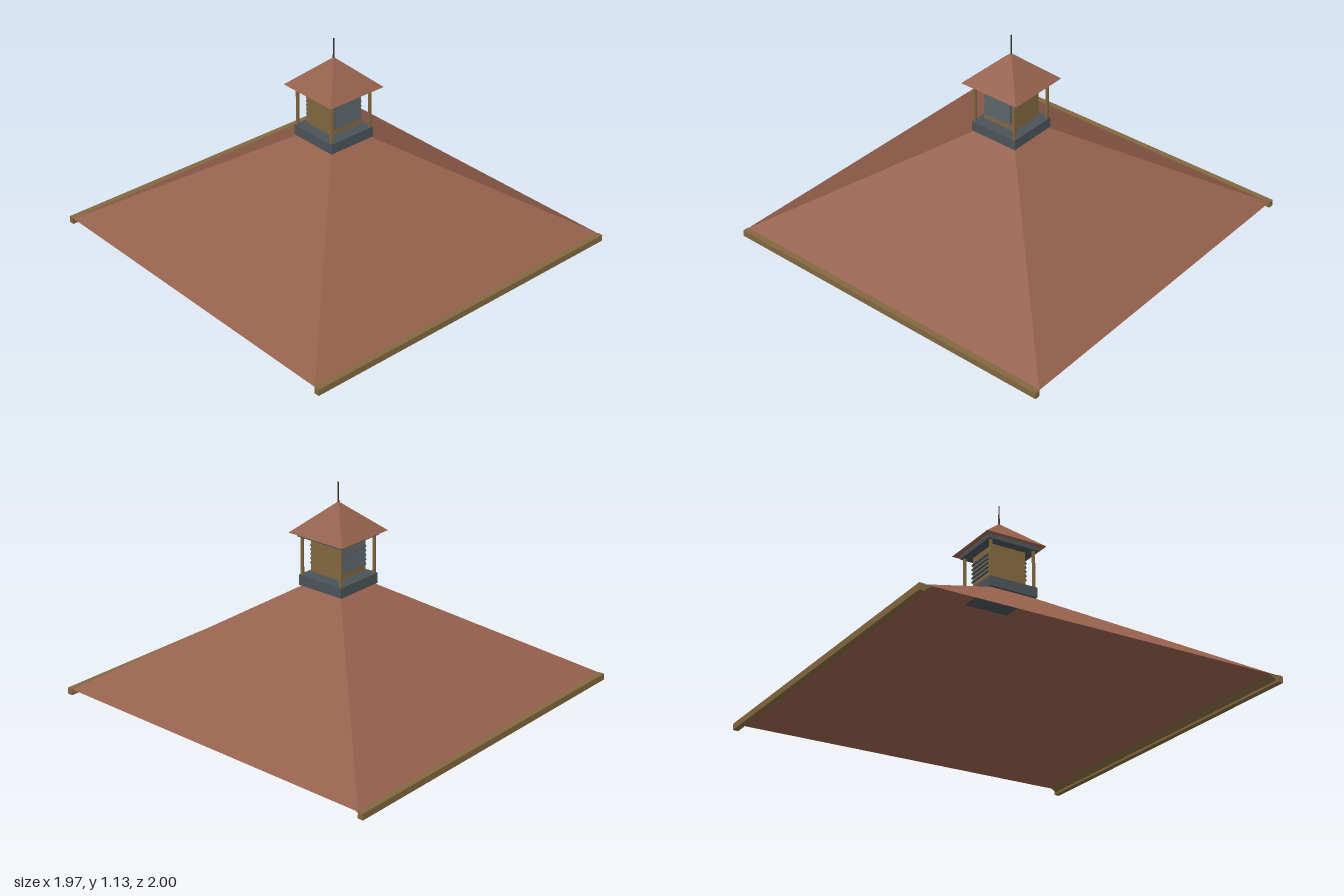
import * as THREE from 'three';

export function createModel() {
  const model = new THREE.Group();
  const mat = (name, color, extra = {}) => Object.assign(new THREE.MeshStandardMaterial({ color, ...extra }), { name });
  const tile = mat('terracotta', 0x935f4b, { flatShading: true, side: THREE.DoubleSide });
  const wood = mat('wood', 0x836840);
  const slate = mat('slate grey', 0x4c5358);
  const iron = mat('dark iron', 0x38342f);

  const add = (name, geometry, material, x = 0, y = 0, z = 0, parent = model) => {
    const mesh = new THREE.Mesh(geometry, material);
    mesh.name = name;
    mesh.position.set(x, y, z);
    parent.add(mesh);
    return mesh;
  };
  // Box given by its size, bottom height and centre
  const box = (name, m, w, h, d, x, y, z, parent) =>
    add(name, new THREE.BoxGeometry(w, h, d), m, x, y + h / 2, z, parent);
  // Four-sided open pyramid
  const pyramid = (name, halfX, halfZ, y0, y1) => {
    const g = new THREE.ConeGeometry(Math.SQRT2, y1 - y0, 4, 1, true).rotateY(Math.PI / 4);
    g.scale(halfX, 1, halfZ);
    return add(name, g, tile, 0, (y0 + y1) / 2, 0);
  };

  // Main hipped roof
  pyramid('mainRoof', 0.98, 0.97, 0.033, 0.662);

  // Eaves boards along front and back, each with a tapered backing strip
  const strip = new THREE.Shape([[0.93, 0.035], [0.97, 0.035], [0.97, 0.012]].map(p => new THREE.Vector2(...p)));
  for (const s of [1, -1]) {
    box('eavesBoard', wood, 1.965, 0.035, 0.03, 0, 0, s * 0.985);
    const g = new THREE.ExtrudeGeometry(strip, { depth: 1.94, bevelEnabled: false });
    g.translate(0, 0, -0.97).rotateY(-s * Math.PI / 2);
    add('eavesBacking', g, wood);
  }

  // Cupola base, corner posts and top plate
  const cupola = new THREE.Group();
  cupola.name = 'cupola';
  model.add(cupola);
  box('cupolaBase', slate, 0.284, 0.056, 0.284, 0, 0.58, 0, cupola);
  for (const x of [-0.129, 0.129])
    for (const z of [-0.129, 0.129]) box('cornerPost', wood, 0.013, 0.212, 0.013, x, 0.635, z, cupola);
  box('topPlate', slate, 0.296, 0.024, 0.296, 0, 0.844, 0, cupola);

  // Louvred housing, with slats on front and back
  box('louvreHousing', wood, 0.196, 0.19, 0.196, 0, 0.652, 0, cupola);
  for (const s of [1, -1])
    for (let i = 0; i < 5; i++) {
      const slat = box('louvreSlat', slate, 0.172, 0.03, 0.008, 0, 0.687 + i * 0.024, s * 0.104, cupola);
      slat.rotation.x = -s * 0.6;
    }

  // Cap roof and finial
  pyramid('capRoof', 0.178, 0.178, 0.865, 1.026);
  add('finial', new THREE.CylinderGeometry(0.003, 0.005, 0.115, 8), iron, 0, 1.0725, 0);

  return model;
}
